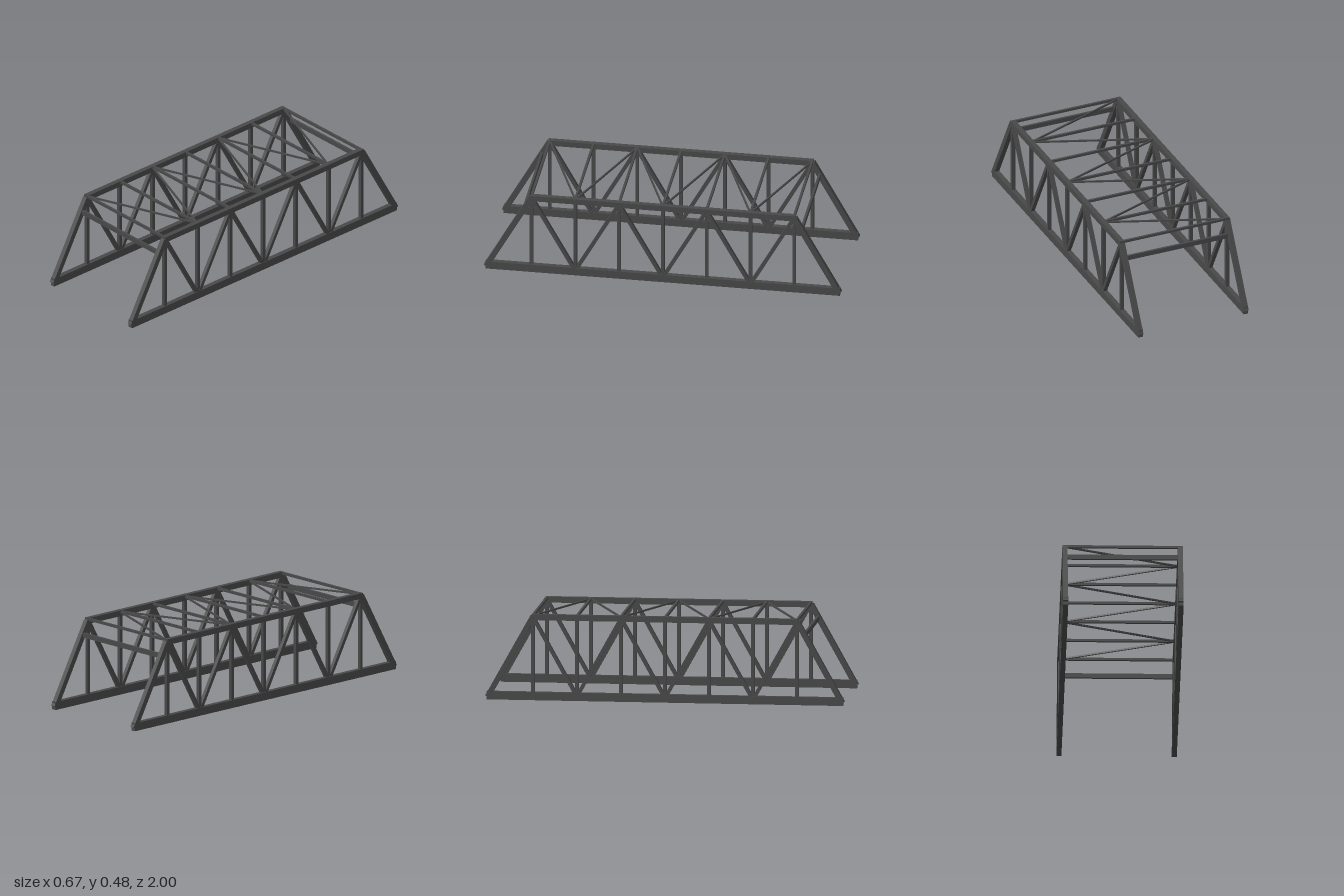
import * as THREE from 'three';

export function createModel() {
  const model = new THREE.Group();
  model.name = 'trussBridge';
  const steel = new THREE.MeshStandardMaterial({ color: 0x484848 });
  steel.name = 'darkSteel';

  // Square-cut bar from a to b; width lies across the bar horizontally, depth in the other direction
  function bar(parent, name, a, b, width, depth) {
    const start = new THREE.Vector3(...a), end = new THREE.Vector3(...b);
    const mesh = new THREE.Mesh(new THREE.BoxGeometry(width, depth, start.distanceTo(end)), steel);
    mesh.position.copy(start).add(end).multiplyScalar(0.5);
    mesh.lookAt(end);
    mesh.name = name;
    parent.add(mesh);
  }

  const panel = 0.245, sideX = 0.319, chordWidth = 0.028;
  const lowY = 0.024, highY = 0.464;

  // Two side trusses
  for (const side of [-1, 1]) {
    const truss = new THREE.Group();
    truss.name = side > 0 ? 'leftTruss' : 'rightTruss';
    model.add(truss);
    const x = side * sideX;

    bar(truss, 'bottomChord', [x, 0.0225, -0.992], [x, 0.0225, 0.992], chordWidth, 0.045);
    bar(truss, 'topChord', [x, highY, -0.742], [x, highY, 0.742], chordWidth, 0.032);
    for (const end of [-1, 1])
      bar(truss, 'endPost', [x, 0.015, end * 0.987], [x, 0.465, end * 0.736], chordWidth, 0.03);

    // Posts at every panel point, with alternating diagonals between them
    for (let i = -3; i <= 3; i++) {
      const z = i * panel;
      const post = new THREE.Mesh(new THREE.BoxGeometry(0.02, highY - lowY, 0.018), steel);
      post.position.set(x, (lowY + highY) / 2, z);
      post.name = 'verticalPost';
      truss.add(post);
      if (i === 3) continue;
      const startsHigh = Math.abs(i) % 2 === 1;
      bar(truss, 'diagonal', [x, startsHigh ? highY : lowY, z],
        [x, startsHigh ? lowY : highY, z + panel], 0.022, 0.02);
    }
  }

  // Overhead cross struts and zigzag bracing
  const bracing = new THREE.Group();
  bracing.name = 'overheadBracing';
  model.add(bracing);
  for (let i = -3; i <= 3; i++) {
    const z = i * panel;
    bar(bracing, 'crossStrut', [-sideX, 0.4725, z], [sideX, 0.4725, z], 0.013, 0.014);
    if (i === 3) continue;
    const from = Math.abs(i) % 2 === 1 ? -sideX : sideX;
    bar(bracing, 'swayBrace', [from, 0.471, z], [-from, 0.471, z + panel], 0.009, 0.009);
  }

  // Portal beams between the end posts
  for (const end of [-1, 1])
    bar(bracing, 'portalBeam', [-sideX, 0.39, end * 0.777], [sideX, 0.39, end * 0.777], 0.013, 0.027);

  return model;
}
